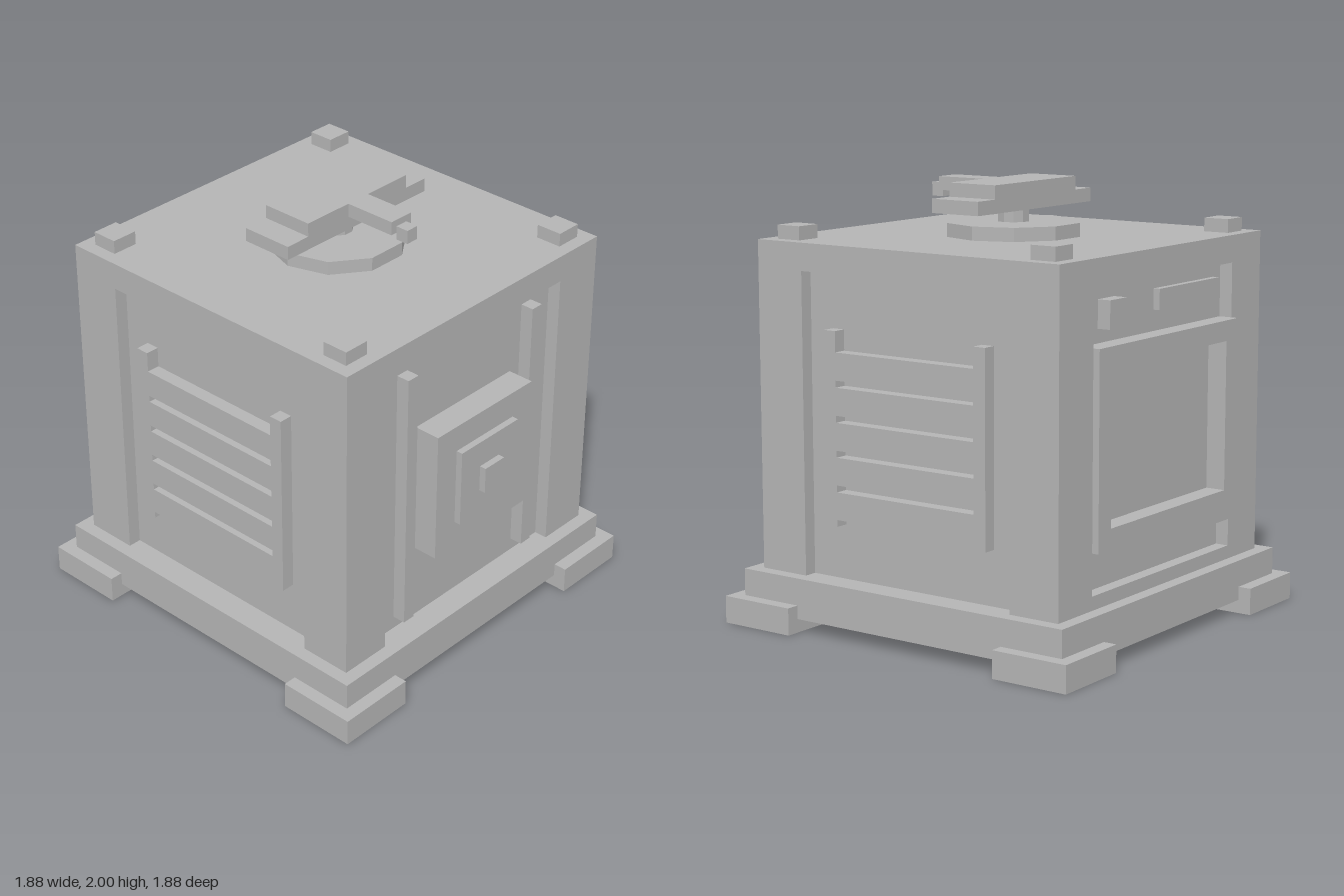
import * as THREE from 'three';

export function createModel() {
  const model = new THREE.Group();
  const grey = new THREE.MeshStandardMaterial({ color: 0xb4b4b4 });
  grey.name = 'plain grey';

  const add = (name, geometry, parent = model) => {
    const mesh = new THREE.Mesh(geometry, grey);
    mesh.name = name;
    parent.add(mesh);
    return mesh;
  };
  // Box given by its two extreme corners
  const box = (name, x0, x1, y0, y1, z0, z1, parent = model) => {
    const mesh = add(name, new THREE.BoxGeometry(x1 - x0, y1 - y0, z1 - z0), parent);
    mesh.position.set((x0 + x1) / 2, (y0 + y1) / 2, (z0 + z1) / 2);
    return mesh;
  };
  // Box centred on a given x and z
  const square = (name, x, z, w, y0, y1) =>
    box(name, x - w / 2, x + w / 2, y0, y1, z - w / 2, z + w / 2);

  // Plinth, core and top slab; the core is set back to form recessed panels
  square('plinth', 0, 0, 1.75, 0.0625, 0.25);
  square('core', 0, 0, 1.5, 0.25, 1.625);
  square('topSlab', 0, 0, 1.625, 1.625, 1.75);

  // Feet, corner posts and top studs
  for (const sx of [-1, 1]) for (const sz of [-1, 1]) {
    square('foot', sx * 0.75, sz * 0.75, 0.375, 0, 0.125);
    square('cornerPost', sx * 0.6875, sz * 0.6875, 0.25, 0.25, 1.625);
    square('topStud', sx * 0.6875, sz * 0.6875, 0.125, 1.75, 1.8125);
  }

  // Front: two rails and a stepped boss
  for (const s of [-1, 1]) {
    const rail = box('frontRail', -0.03125, 0.03125, 0.3125, 1.5625, 0.75, 0.8125);
    rail.position.x = s * 0.40625;
  }
  box('frontBoss', -0.3125, 0.3125, 0.625, 1.25, 0.75, 0.875);
  box('frontBossStep', -0.1875, 0.1875, 0.755, 1.125, 0.875, 0.906);
  box('frontButton', -0.0625, 0.0625, 0.875, 1, 0.906, 0.9375);

  // Sides: a grille of five slats between two uprights
  for (const s of [-1, 1]) {
    const grille = new THREE.Group();
    grille.name = s > 0 ? 'leftGrille' : 'rightGrille';
    for (const z of [-0.4375, 0.375])
      box('grilleUpright', 0.75, 0.8125, 0.5, 1.375, z, z + 0.0625, grille);
    for (let i = 0; i < 5; i++) {
      const y = 0.531 + i * 0.15625;
      box('grilleSlat', 0.75, 0.8125, y, y + 0.125, -0.375, 0.375, grille);
    }
    if (s < 0) grille.rotation.y = Math.PI;
    model.add(grille);
  }

  // Back: framed window, with a knob and a plate above and a slot below
  const rect = (Type, x, y0, y1) => new Type().moveTo(-x, y0).lineTo(x, y0)
    .lineTo(x, y1).lineTo(-x, y1).closePath();
  const frame = rect(THREE.Shape, 0.5625, 0.5, 1.375);
  frame.holes.push(rect(THREE.Path, 0.469, 0.594, 1.281));
  add('backFrame', new THREE.ExtrudeGeometry(frame, { depth: 0.094, bevelEnabled: false }))
    .position.z = -0.844;
  box('backKnob', 0.3125, 0.4375, 1.4375, 1.5625, -0.8125, -0.75);
  box('backPlate', -0.5, 0, 1.469, 1.5625, -0.781, -0.75);
  box('backUpperSill', -0.5625, 0.5625, 0.4375, 0.5, -0.8125, -0.75);
  box('backLowerSill', -0.5625, 0.5625, 0.25, 0.3125, -0.8125, -0.75);

  // Top: ten-sided disc and axle carrying a stepped handle
  const disc = (name, r, y0, y1) => {
    const geometry = new THREE.CylinderGeometry(r, r, y1 - y0, 10, 1, false, Math.PI / 2);
    const flat = geometry.toNonIndexed();
    flat.computeVertexNormals();
    add(name, flat).position.y = (y0 + y1) / 2;
  };
  disc('topDisc', 0.3125, 1.75, 1.8125);
  disc('axle', 0.073, 1.8125, 1.875);
  box('handleBar', -0.4375, 0.4375, 1.875, 1.9375, -0.125, 0.125);
  box('handleCap', -0.3125, 0.3125, 1.9375, 2, -0.125, 0.125);
  box('handleArm', -0.0625, 0.0625, 1.9375, 2, 0.125, 0.375);
  box('handleTip', -0.03125, 0.03125, 1.906, 1.969, 0.375, 0.4375);

  return model;
}
